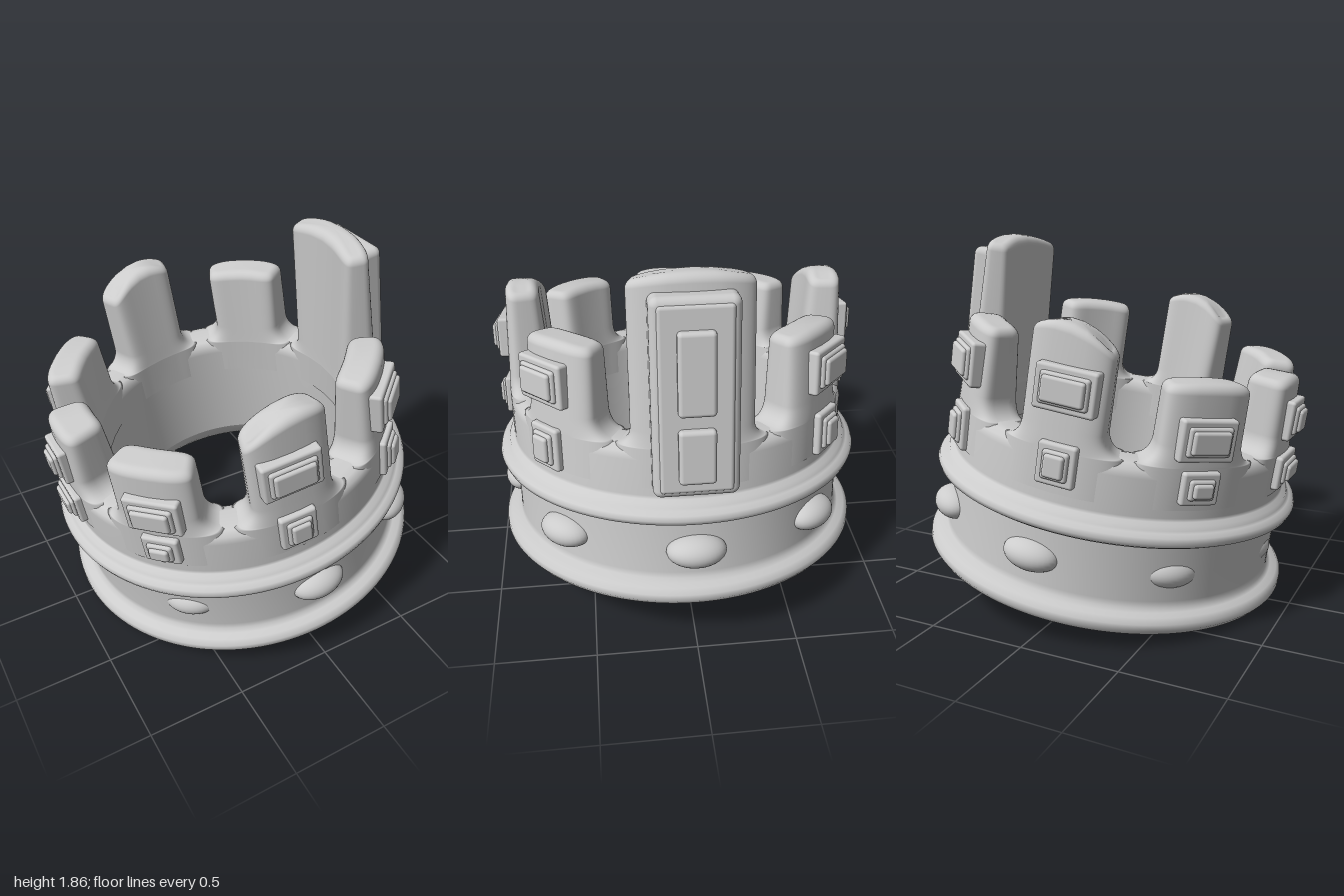
import * as THREE from 'three';
import { RoundedBoxGeometry } from 'three/addons/geometries/RoundedBoxGeometry.js';

const material = new THREE.MeshStandardMaterial({ color: 0xcccccc, roughness: 0.7 });
const DEG = Math.PI / 180;

function addMesh(parent, name, geometry) {
  const mesh = new THREE.Mesh(geometry, material);
  mesh.name = name;
  parent.add(mesh);
  return mesh;
}

// Place a mesh on the crown's side, its local +x pointing outward
function placeAround(mesh, angle, radius, height) {
  mesh.position.set(radius * Math.cos(angle), height, radius * Math.sin(angle));
  mesh.rotation.y = -angle;
}

// One upright of the crown: rounded curved sections stacked upward,
// flaring at the foot and rounded over at the top
function uprightGeometry({ angle, half, top, tilt = 0, arc = 0, flare = 0.1, inner = 0 }) {
  const SIDES = 64, FOOT = 0.8, ROUND = 0.045;
  const levels = [{ y: 0.6, grow: flare, size: 1 }];
  for (let i = 0; i <= 7; i++) {
    const a = (i / 7) * Math.PI / 2;
    levels.push({ y: FOOT + flare * (1 - Math.cos(a)), grow: flare * (1 - Math.sin(a)), size: 1 });
  }
  for (let i = 0; i <= 6; i++) {
    const a = (i / 6) * Math.PI / 2;
    levels.push({ drop: ROUND * (1 - Math.sin(a)), grow: -ROUND * (1 - Math.cos(a)), size: 1 });
  }
  for (const size of [0.75, 0.45, 0.2, 0]) levels.push({ drop: 0, grow: -ROUND, size });

  const soft = (v) => Math.sign(v) * Math.pow(Math.abs(v), 0.45);
  const positions = [], index = [];
  levels.forEach((level, i) => {
    for (let j = 0; j < SIDES; j++) {
      const phi = (j / SIDES) * Math.PI * 2;
      const s = soft(Math.cos(phi)) * level.size;
      const across = soft(Math.sin(phi)) * level.size;
      const y = level.y ?? top + tilt * s - arc * s * s - level.drop;
      const rise = Math.max(0, y - FOOT);
      const rIn = 0.655 + inner + 0.08 * rise, rOut = 0.889 - 0.035 * rise;
      const thick = (rOut - rIn) / 2 + Math.min(0, level.grow);
      const r = (rIn + rOut) / 2 + across * thick;
      const theta = angle + s * (half + level.grow / 0.87);
      positions.push(r * Math.cos(theta), y, r * Math.sin(theta));
      if (i < levels.length - 1) {
        const a = i * SIDES + j, b = i * SIDES + (j + 1) % SIDES;
        index.push(a, b, b + SIDES, a, b + SIDES, a + SIDES);
      }
    }
  });
  const geometry = new THREE.BufferGeometry();
  geometry.setAttribute('position', new THREE.Float32BufferAttribute(positions, 3));
  geometry.setIndex(index);
  geometry.computeVertexNormals();
  return geometry;
}

// Stepped rectangular jewel: a base plate, a step and a raised stone
function addJewel(parent, angle, y, w, h) {
  const jewel = new THREE.Group();
  jewel.name = 'squareJewel';
  parent.add(jewel);
  placeAround(jewel, angle, 0.85, y);
  const tiers = [['jewelPlate', 0, 0.065], ['jewelStep', 0.06, 0.082], ['jewelStone', 0.09, 0.1]];
  for (const [name, inset, out] of tiers) {
    const depth = out + 0.06;
    const mesh = addMesh(jewel, name, new RoundedBoxGeometry(depth, h - inset, w - inset, 3, 0.015));
    mesh.position.x = out - depth / 2;
  }
}

export function createModel() {
  const model = new THREE.Group();
  model.name = 'crown';
  // The whole crown leans to one side
  const crown = new THREE.Group();
  crown.name = 'tiltedCrown';
  crown.position.set(0.055, 0.155, 0);
  crown.rotation.z = 0.154;
  model.add(crown);

  // Band with the base rim, the middle rim and the inner wall
  const profile = [
    [0.66, 0.14], [0.675, 0.1], [0.70, 0.06], [0.735, 0.02], [0.78, 0], [0.84, -0.008], [0.91, -0.008],
    [0.95, 0.008], [0.97, 0.035], [0.968, 0.065], [0.945, 0.088], [0.91, 0.095], [0.89, 0.11],
    [0.885, 0.14], [0.885, 0.41], [0.89, 0.43], [0.935, 0.435], [0.96, 0.45], [0.968, 0.472],
    [0.96, 0.495], [0.935, 0.508], [0.922, 0.515], [0.915, 0.535], [0.89, 0.545], [0.885, 0.56],
    [0.885, 0.74], [0.875, 0.775], [0.85, 0.798], [0.81, 0.805], [0.73, 0.805], [0.69, 0.795],
    [0.668, 0.77], [0.66, 0.73], [0.66, 0.14],
  ].map(([r, y]) => new THREE.Vector2(r, y));
  addMesh(crown, 'band', new THREE.LatheGeometry(profile, 128));

  // Tall front upright with its panel and two long stones
  addMesh(crown, 'tallUpright', uprightGeometry({ angle: 0, half: 20.5 * DEG, top: 1.61, arc: 0.035, flare: 0.08 }));
  const panels = [
    ['tallPanel', 0.58, 1.53, 0.4, 0.945, 0.04],
    ['tallPanelFace', 0.61, 1.5, 0.34, 0.955, 0.02],
    ['upperStone', 1.0, 1.39, 0.17, 0.992, 0.02],
    ['lowerStone', 0.67, 0.935, 0.17, 0.992, 0.02],
  ];
  for (const [name, y0, y1, w, out, round] of panels) {
    const mesh = addMesh(crown, name, new RoundedBoxGeometry(0.14, y1 - y0, w, 4, round));
    placeAround(mesh, 0, out - 0.07, (y0 + y1) / 2);
  }

  // Shorter uprights, mirrored to both sides, each with two jewels
  const uprights = [
    { at: 47, half: 15, top: 1.25, arc: 0.01, jewelAt: 49.5, upper: [1.05, 0.3, 0.22], lower: [0.712, 0.19, 0.22] },
    { at: 94, half: 14.5, top: 1.37, tilt: -0.035, arc: 0.06, jewelAt: 95.5, upper: [1.086, 0.3, 0.21], lower: [0.741, 0.19, 0.2] },
    { at: 139, half: 15, top: 1.185, arc: 0.01, jewelAt: 138, upper: [0.94, 0.28, 0.2], lower: [0.713, 0.19, 0.16] },
    { at: 180, half: 11, top: 1.185, arc: 0.01, jewelAt: 180, upper: [0.98, 0.2, 0.2], lower: [0.717, 0.26, 0.17], inner: -0.02 },
  ];
  for (const u of uprights) {
    for (const side of u.at === 180 ? [1] : [1, -1]) {
      const { half, top, arc, inner, tilt = 0 } = u;
      addMesh(crown, 'upright', uprightGeometry({
        angle: side * u.at * DEG, half: half * DEG, top, arc, inner, tilt: side * tilt,
      }));
      for (const [y, w, h] of [u.upper, u.lower]) addJewel(crown, side * u.jewelAt * DEG, y, w, h);
    }
  }

  // Oval stones around the band, sunk deeper toward the back
  const sunk = [0.89, 0.875, 0.86, 0.815, 0.8];
  for (let i = 0; i < 8; i++) {
    const stone = addMesh(crown, 'ovalStone', new THREE.SphereGeometry(1, 32, 20));
    stone.scale.set(0.1, 0.08, 0.145);
    placeAround(stone, i * 45 * DEG, sunk[Math.min(i, 8 - i)], 0.267);
  }
  return model;
}
